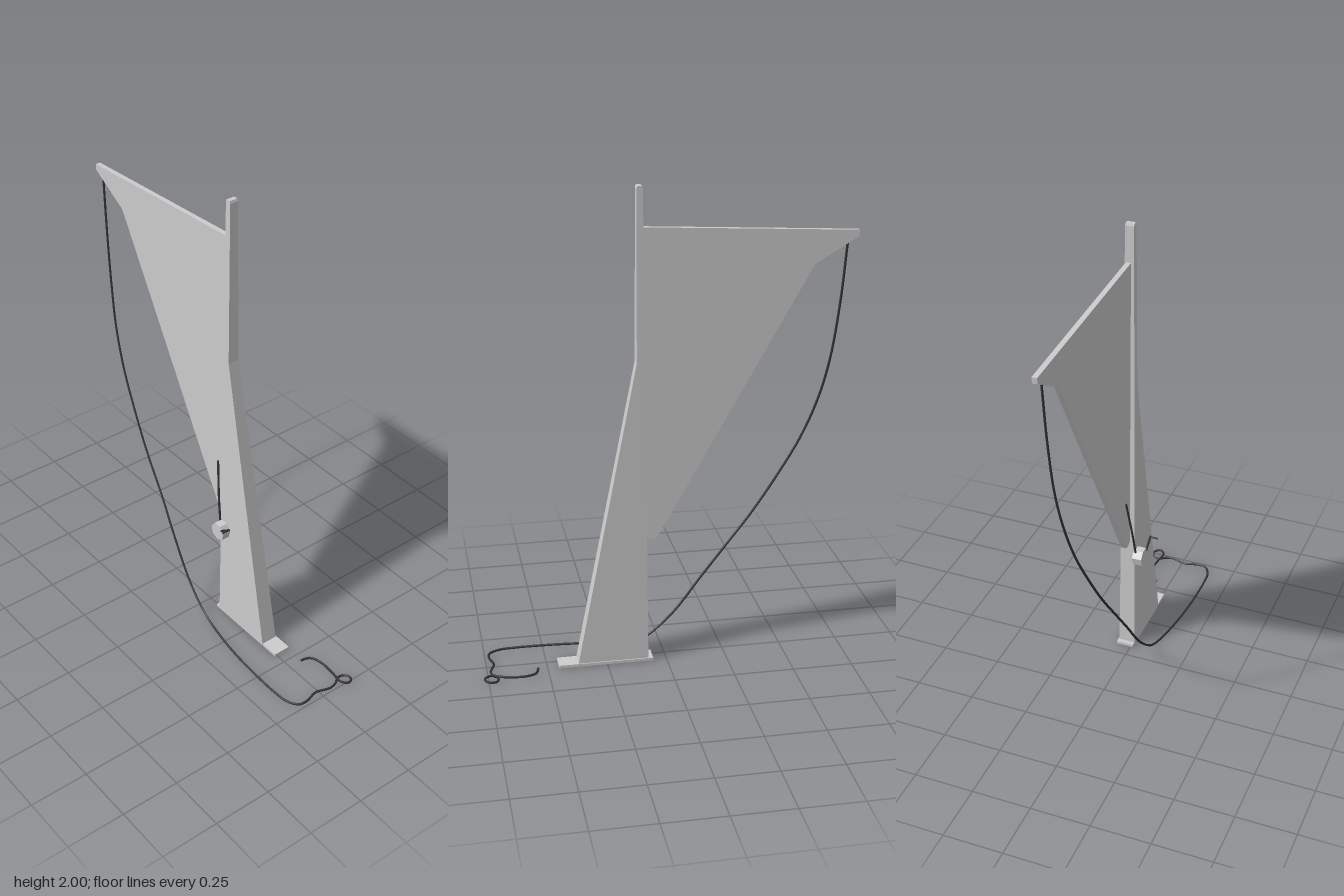
import * as THREE from 'three';

const grey = () => new THREE.MeshStandardMaterial({ color: 0xcccccc, flatShading: true });
const dark = () => new THREE.MeshStandardMaterial({ color: 0x333333 });

function add(parent, name, geometry, material) {
  const mesh = new THREE.Mesh(geometry, material);
  mesh.name = name;
  parent.add(mesh);
  return mesh;
}

// Flat outline in x, y given thickness from z0 to z1
function slab(points, z0, z1) {
  const shape = new THREE.Shape(points.map(([x, y]) => new THREE.Vector2(x, y)));
  const geo = new THREE.ExtrudeGeometry(shape, { depth: z1 - z0, bevelEnabled: false });
  return geo.translate(0, 0, z0);
}

function rope(points, radius, segments) {
  const curve = new THREE.CatmullRomCurve3(points.map(p => new THREE.Vector3(...p)), false, 'centripetal');
  return new THREE.TubeGeometry(curve, segments, radius, 6);
}

// Round bar between two points
function bar(a, b, radius) {
  const path = new THREE.LineCurve3(new THREE.Vector3(...a), new THREE.Vector3(...b));
  return new THREE.TubeGeometry(path, 1, radius, 6);
}

export function createModel() {
  const model = new THREE.Group();
  model.name = 'mastWithSail';

  // Mast: broad fin at the foot, slim at the head, thinning towards the top
  const mast = slab([
    [0.077, 0.005], [0.373, 0.005], [0.116, 1.3], [0.112, 1.99], [0.108, 2], [0.09, 2], [0.087, 1.99], [0.083, 1.3],
  ], 0, 1);
  const pos = mast.attributes.position;
  for (let i = 0; i < pos.count; i++) {
    const t = pos.getY(i) / 2;
    const front = THREE.MathUtils.lerp(0.012, -0.001, t);
    const back = THREE.MathUtils.lerp(-0.06, -0.037, t);
    pos.setZ(i, THREE.MathUtils.lerp(back, front, pos.getZ(i)));
  }
  mast.computeVertexNormals();
  add(model, 'mast', mast, grey());

  // Foot plate
  const plate = add(model, 'footPlate', new THREE.BoxGeometry(0.397, 0.012, 0.075), grey());
  plate.position.set(0.255, 0.008, -0.027);

  // Sail panel
  add(model, 'sail', slab([
    [-0.778, 1.795], [-0.776, 1.77], [-0.735, 1.745], [-0.6, 1.665],
    [0.035, 0.545], [0.05, 0.538], [0.085, 0.55], [0.095, 1.84],
  ], -0.034, -0.013), grey());

  // Winch drum with its crank
  const winch = new THREE.Group();
  winch.name = 'winch';
  model.add(winch);
  const drum = new THREE.CylinderGeometry(0.04, 0.04, 0.042, 7).rotateX(Math.PI / 2);
  add(winch, 'drum', drum, grey()).position.set(0.102, 0.47, 0.024);
  add(winch, 'crankArm', bar([0.125, 0.487, 0.043], [0.18, 0.528, 0.043], 0.005), dark());
  add(winch, 'crankHandle', bar([0.176, 0.525, 0.04], [0.176, 0.525, 0.08], 0.004), dark());

  // Short line from the sail edge to the winch
  add(model, 'winchLine', rope([
    [0.032, 0.775, -0.012], [0.045, 0.7, -0.004], [0.062, 0.6, 0.006], [0.08, 0.5, 0.013],
  ], 0.005, 12), dark());

  // Sheet: hangs from the sail tip, then trails over the ground and loops
  add(model, 'sheetRope', rope([
    [-0.735, 1.75, -0.018], [-0.715, 1.5, -0.012], [-0.685, 1.27, -0.003], [-0.645, 1.1, 0.01],
    [-0.58, 0.93, 0.024], [-0.49, 0.765, 0.037], [-0.38, 0.59, 0.05], [-0.27, 0.44, 0.06],
    [-0.17, 0.3, 0.074], [-0.07, 0.16, 0.084], [0, 0.085, 0.09], [0.07, 0.03, 0.094],
    [0.13, 0.01, 0.102], [0.27, 0.007, 0.127], [0.4, 0.007, 0.141], [0.52, 0.007, 0.147],
  ].concat([
    [0.62, 0.007, 0.147], [0.685, 0.007, 0.14], [0.728, 0.007, 0.112], [0.733, 0.007, 0.075],
    [0.718, 0.007, 0.015], [0.736, 0.007, -0.05], [0.728, 0.007, -0.085], [0.71, 0.007, -0.11],
    [0.718, 0.009, -0.143], [0.748, 0.012, -0.15], [0.767, 0.015, -0.125], [0.74, 0.016, -0.1],
    [0.685, 0.01, -0.11], [0.6, 0.007, -0.115], [0.553, 0.007, -0.097], [0.54, 0.007, -0.055],
  ]), 0.005, 240), dark());

  return model;
}
